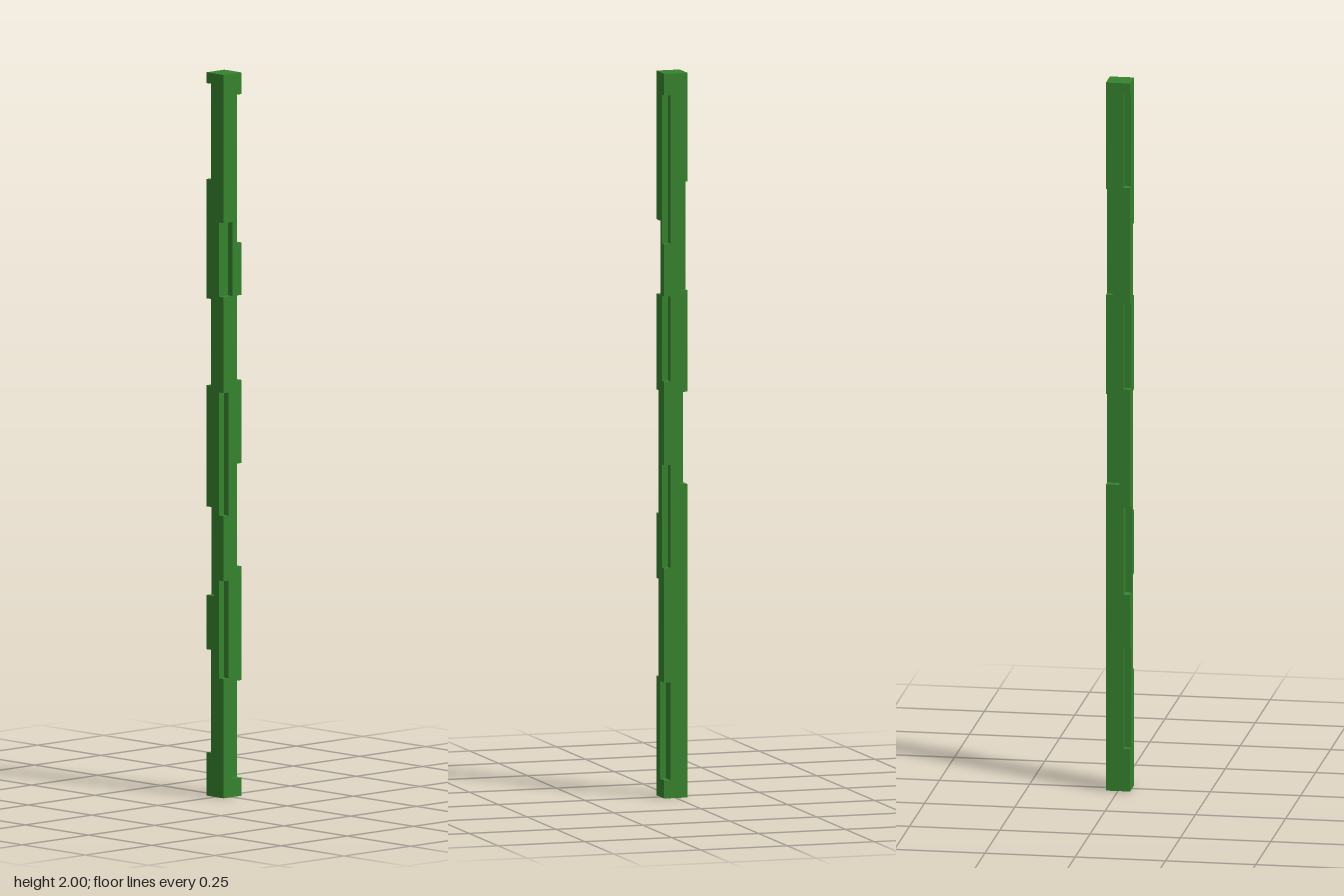
import * as THREE from 'three';
import { mergeGeometries } from 'three/addons/utils/BufferGeometryUtils.js';

const HEIGHT = 2;
const H = 0.0335; // half the post's width

// Corners in order around the post, each with its notches:
// [bottom, top, width along x, width along z]
const corners = [
  { sx: 1, sz: 1, notches: [[0.05, 0.32, 0.038, 0.018], [0.635, 0.92, 0.02, 0.018], [1.15, 1.385, 0.02, 0.018], [1.53, 1.94, 0.02, 0.018]] },
  { sx: 1, sz: -1, notches: [[0.865, 1.12, 0.038, 0.02], [1.4, 1.7, 0.018, 0.019]] },
  { sx: -1, sz: -1, notches: [[0.12, 0.405, 0.018, 0.018], [0.555, 0.8, 0.018, 0.03], [1.135, 1.375, 0.018, 0.018], [1.705, 1.97, 0.018, 0.018]] },
  { sx: -1, sz: 1, notches: [[0.33, 0.6, 0.018, 0.018], [0.78, 1.12, 0.018, 0.018], [1.385, 1.59, 0.034, 0.018]] },
];

// Outline of the post at height y, stepping in at each notched corner
function outline(y) {
  return corners.flatMap(({ sx, sz, notches }) => {
    const notch = notches.find(([y0, y1]) => y > y0 && y < y1);
    if (!notch) return [[sx * H, sz * H]];
    const x = sx * (H - notch[2]), z = sz * (H - notch[3]);
    const steps = [[x, sz * H], [x, z], [sx * H, z]];
    return sx * sz > 0 ? steps : steps.reverse();
  });
}

// Upright wall between two outline points
function wall([x0, z0], [x1, z1], y0, y1) {
  const length = Math.hypot(x1 - x0, z1 - z0);
  return new THREE.PlaneGeometry(length, y1 - y0)
    .rotateY(Math.atan2(-(z1 - z0), x1 - x0))
    .translate((x0 + x1) / 2, (y0 + y1) / 2, (z0 + z1) / 2);
}

// Level rectangle facing up (1) or down (-1)
function level(width, depth, x, y, z, facing) {
  return new THREE.PlaneGeometry(width, depth)
    .rotateX(-facing * Math.PI / 2)
    .translate(x, y, z);
}

export function createModel() {
  const green = new THREE.MeshStandardMaterial({ color: 0x37842f });
  green.name = 'leaf green';

  // Walls, one band between each pair of neighbouring notch heights
  const walls = [];
  const cuts = corners.flatMap(c => c.notches.flatMap(n => [n[0], n[1]]));
  const heights = [...new Set([0, ...cuts, HEIGHT])].sort((a, b) => a - b);
  for (let i = 0; i < heights.length - 1; i++) {
    const y0 = heights[i], y1 = heights[i + 1];
    const points = outline((y0 + y1) / 2);
    points.forEach((p, k) => walls.push(wall(p, points[(k + 1) % points.length], y0, y1)));
  }

  // Ledges at the foot and head of every notch
  const ledges = [];
  for (const { sx, sz, notches } of corners) {
    for (const [y0, y1, a, b] of notches) {
      const x = sx * (H - a / 2), z = sz * (H - b / 2);
      ledges.push(level(a, b, x, y0, z, 1), level(a, b, x, y1, z, -1));
    }
  }

  // Flat ends
  const ends = [level(2 * H, 2 * H, 0, HEIGHT, 0, 1), level(2 * H, 2 * H, 0, 0, 0, -1)];

  const group = new THREE.Group();
  group.name = 'notchedPost';
  for (const [name, parts] of Object.entries({ postWalls: walls, notchLedges: ledges, postEnds: ends })) {
    const mesh = new THREE.Mesh(mergeGeometries(parts), green);
    mesh.name = name;
    group.add(mesh);
  }
  return group;
}
